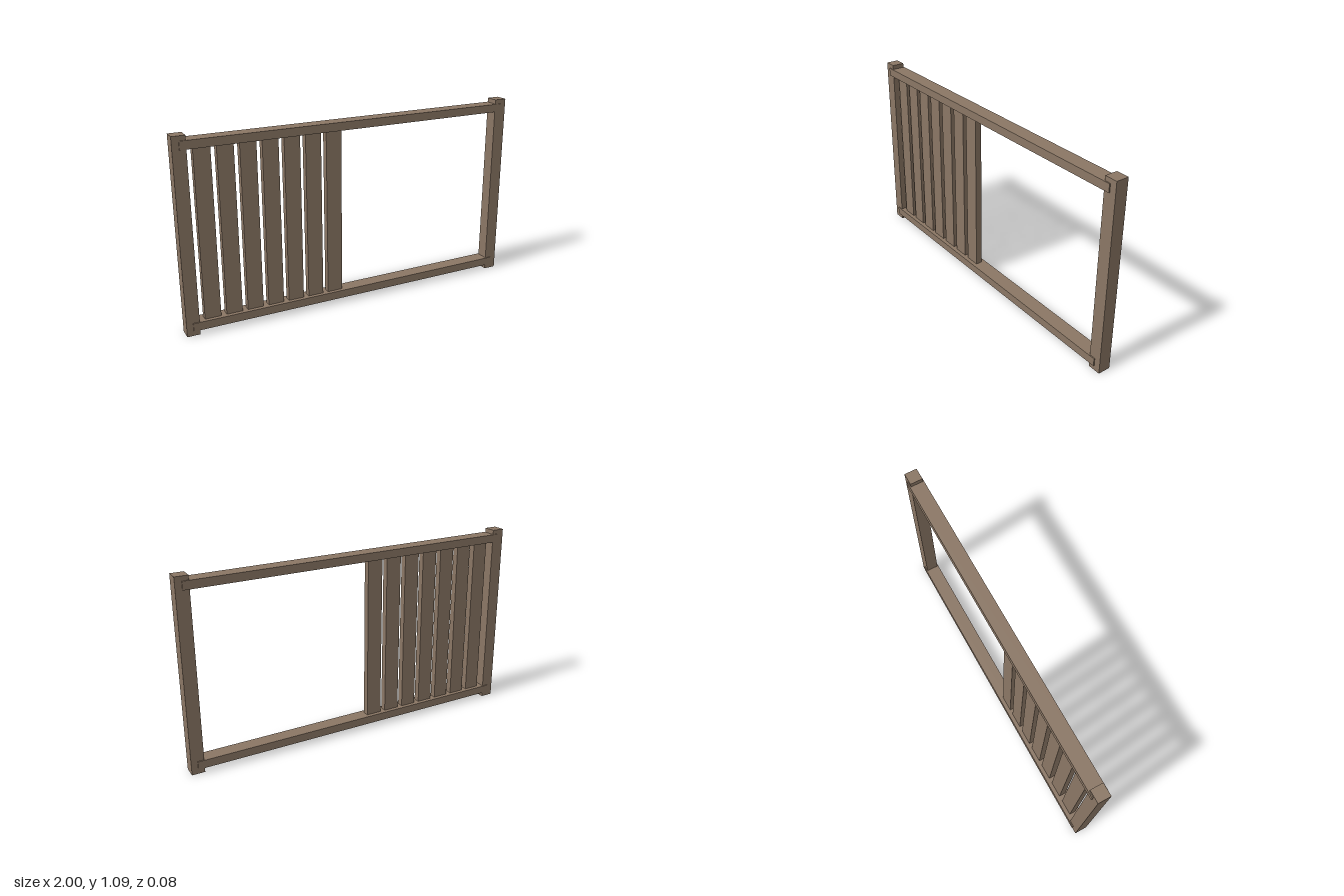
import * as THREE from 'three';

export function createModel() {
  const model = new THREE.Group();
  model.name = 'slattedFrame';
  const wood = new THREE.MeshStandardMaterial({ color: 0x8b7765 });

  const addBox = (name, size, position) => {
    const mesh = new THREE.Mesh(new THREE.BoxGeometry(...size), wood);
    mesh.name = name;
    mesh.position.set(...position);
    model.add(mesh);
  };

  // End posts
  const height = 1.085;
  for (const side of [-1, 1]) {
    addBox(side > 0 ? 'leftPost' : 'rightPost', [0.072, height, 0.072], [side * 0.964, height / 2, 0]);
  }

  // Rails, slightly thicker than the posts and reaching to the posts' middles
  const railHeight = 0.046;
  const lowY = 0.05, highY = 1.037;
  addBox('bottomRail', [1.928, railHeight, 0.084], [0, lowY, 0]);
  addBox('topRail', [1.928, railHeight, 0.084], [0, highY, 0]);

  // Upright slats fill one half only, the other half is open
  const slatHeight = highY - lowY - railHeight;
  for (let i = 0; i < 7; i++) {
    addBox(`slat${i + 1}`, [0.09, slatHeight, 0.038], [-0.849 + i * 0.1207, (lowY + highY) / 2, 0]);
  }

  return model;
}
